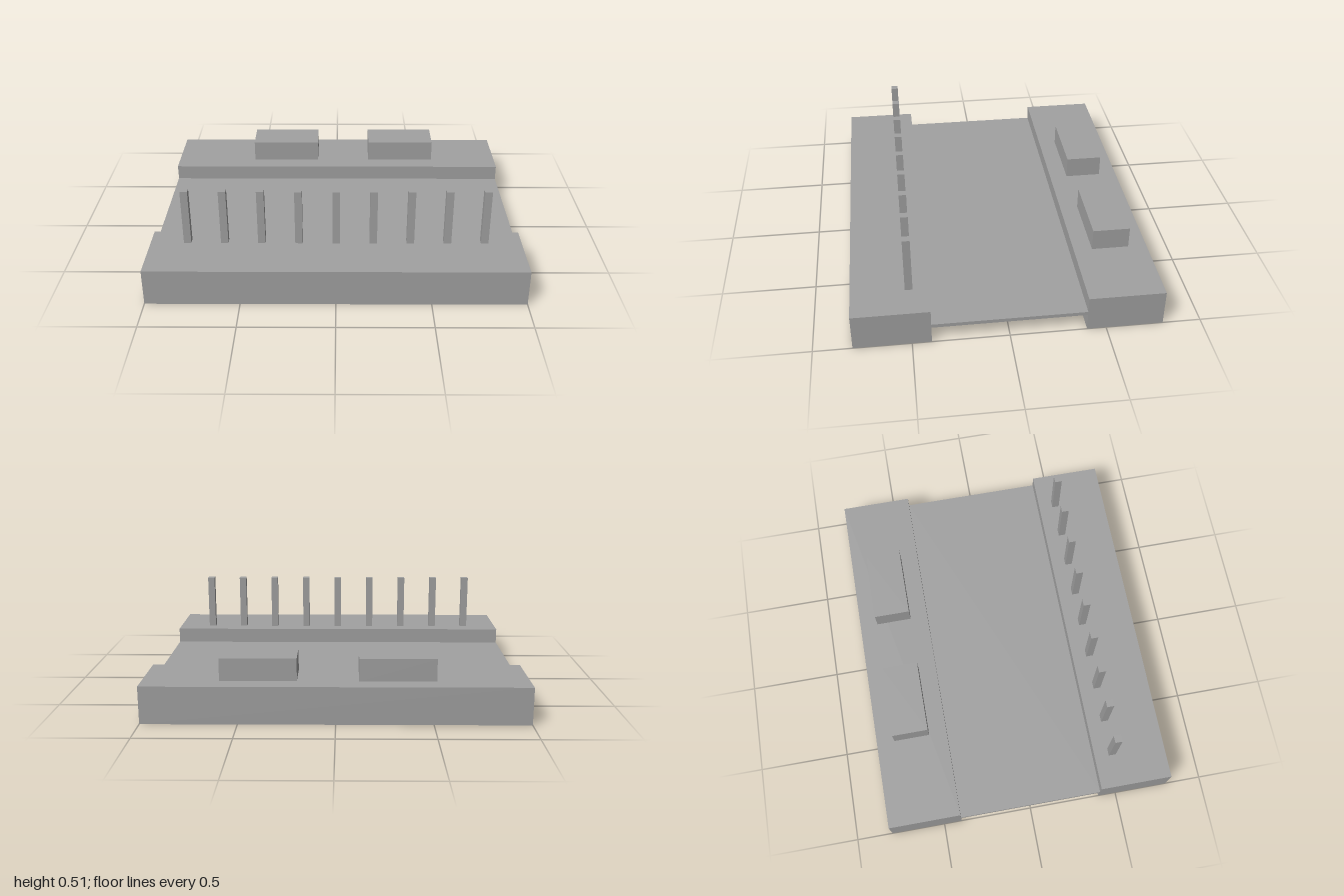
import * as THREE from 'three';

const material = new THREE.MeshStandardMaterial({ color: 0xa2a2a2, flatShading: true });

// Box standing on height y, centred on x and z
function block(name, [w, h, d], [x, y, z]) {
  const mesh = new THREE.Mesh(new THREE.BoxGeometry(w, h, d), material);
  mesh.name = name;
  mesh.position.set(x, y + h / 2, z);
  return mesh;
}

export function createModel() {
  const model = new THREE.Group();
  model.name = 'deckBetweenBanks';

  // Two raised banks joined by a thin deck
  model.add(block('frontBank', [2, 0.2, 0.4], [0, 0, 0.6]));
  model.add(block('backBank', [2, 0.2, 0.4], [0, 0, -0.6]));
  model.add(block('deck', [2, 0.02, 0.8], [0, 0.095, 0]));

  // Row of square posts on the front bank
  const posts = new THREE.Group();
  posts.name = 'posts';
  for (let i = -4; i <= 4; i++) {
    posts.add(block('post', [0.04, 0.312, 0.04], [i * 0.2, 0.2, 0.5]));
  }
  model.add(posts);

  // Low blocks on the back bank
  model.add(block('rightBlock', [0.4, 0.12, 0.2], [-0.32, 0.2, -0.6]));
  model.add(block('leftBlock', [0.4, 0.12, 0.2], [0.4, 0.2, -0.6]));

  return model;
}
